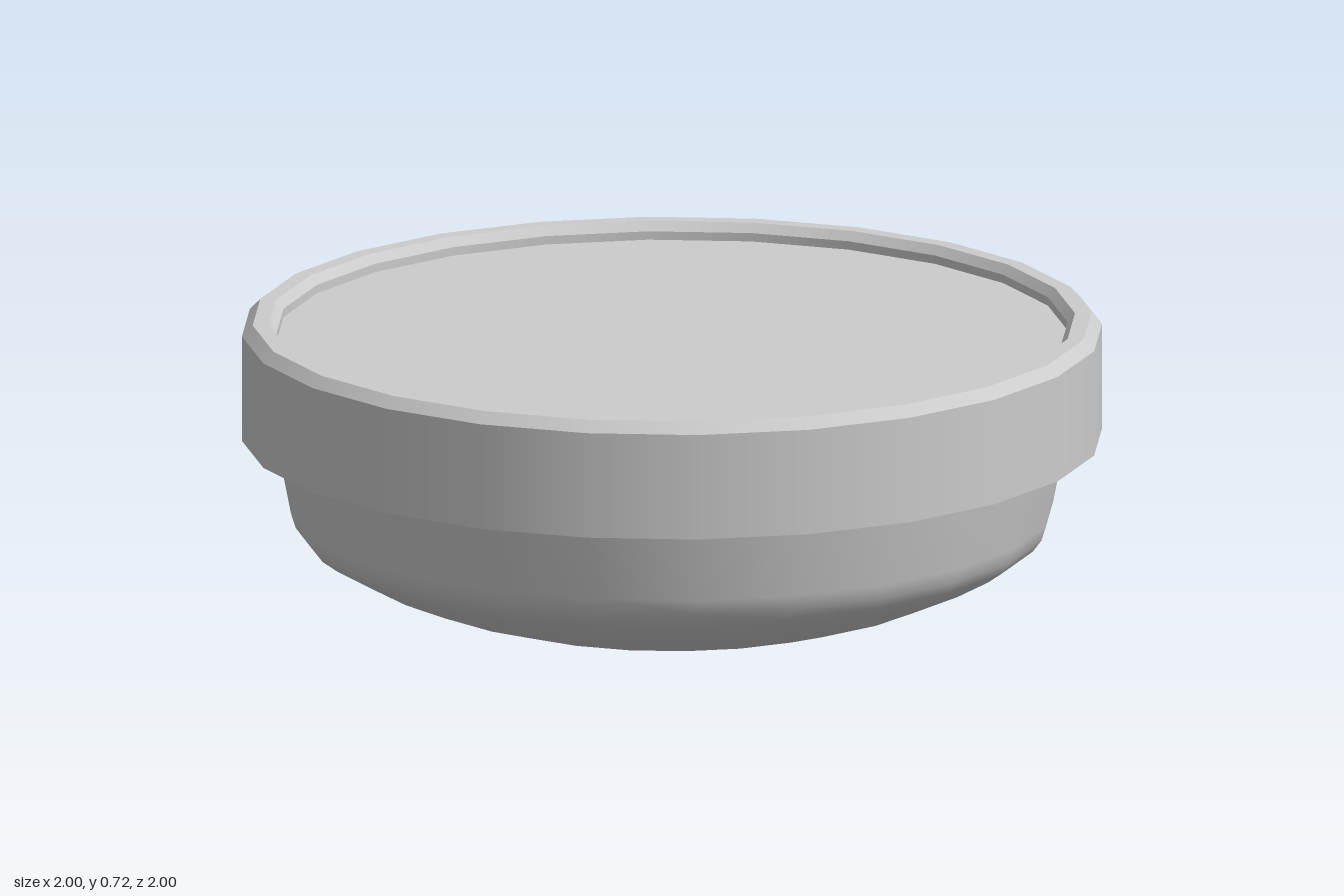
import * as THREE from 'three';

const SIDES = 24;

export function createModel() {
  const model = new THREE.Group();
  const grey = new THREE.MeshStandardMaterial({ color: 0xcccccc });
  const greyInside = new THREE.MeshStandardMaterial({ color: 0xcccccc, side: THREE.DoubleSide });

  const add = (parent, name, geometry, material = grey) => {
    const mesh = new THREE.Mesh(geometry, material);
    mesh.name = name;
    parent.add(mesh);
    return mesh;
  };
  const vectors = (list) => list.map(([x, y]) => new THREE.Vector2(x, y));
  const circle = (r) => Array.from({ length: SIDES }, (_, i) => {
    const a = (i / SIDES) * Math.PI * 2;
    return new THREE.Vector2(r * Math.cos(a), r * Math.sin(a));
  });

  // Rounded dish with a gently domed underside
  add(model, 'dish', new THREE.LatheGeometry(vectors([
    [0, 0], [0.2, 0.004], [0.37, 0.022], [0.5, 0.047], [0.63, 0.087], [0.74, 0.134],
    [0.82, 0.178], [0.855, 0.203], [0.875, 0.23], [0.886, 0.265], [0.92, 0.44],
  ]), SIDES));

  // Collar: one lathe per band keeps the edges between bands sharp
  const collar = new THREE.Group();
  collar.name = 'collar';
  model.add(collar);
  const profile = [[1, 0.44], [1, 0.69], [0.975, 0.716], [0.937, 0.716], [0.92, 0.695], [0.92, 0.675]];
  const bands = ['outerWall', 'outerChamfer', 'rim', 'innerChamfer', 'innerWall'];
  bands.forEach((name, i) => {
    add(collar, name, new THREE.LatheGeometry(vectors([profile[i], profile[i + 1]]), SIDES));
  });

  // Collar underside with two small round holes at the back
  const underside = new THREE.Shape(circle(1));
  underside.holes.push(new THREE.Path(circle(0.92).reverse()));
  const holeRadius = 0.025, holeDepth = 0.12, holeZ = -0.95;
  for (const x of [-0.125, 0.125]) {
    underside.holes.push(new THREE.Path().absarc(x, holeZ, holeRadius, 0, Math.PI * 2, true));

    const bore = new THREE.CylinderGeometry(holeRadius, holeRadius, holeDepth, 16, 1, true);
    add(collar, 'holeWall', bore, greyInside).position.set(x, 0.44 + holeDepth / 2, holeZ);

    const end = new THREE.CircleGeometry(holeRadius, 16).rotateX(Math.PI / 2);
    add(collar, 'holeEnd', end).position.set(x, 0.44 + holeDepth, holeZ);
  }
  add(collar, 'underside', new THREE.ShapeGeometry(underside, 8).rotateX(Math.PI / 2)).position.y = 0.44;

  // Flat top panel, set slightly below the rim
  add(model, 'topPanel', new THREE.CircleGeometry(0.92, SIDES).rotateX(-Math.PI / 2)).position.y = 0.675;

  return model;
}
